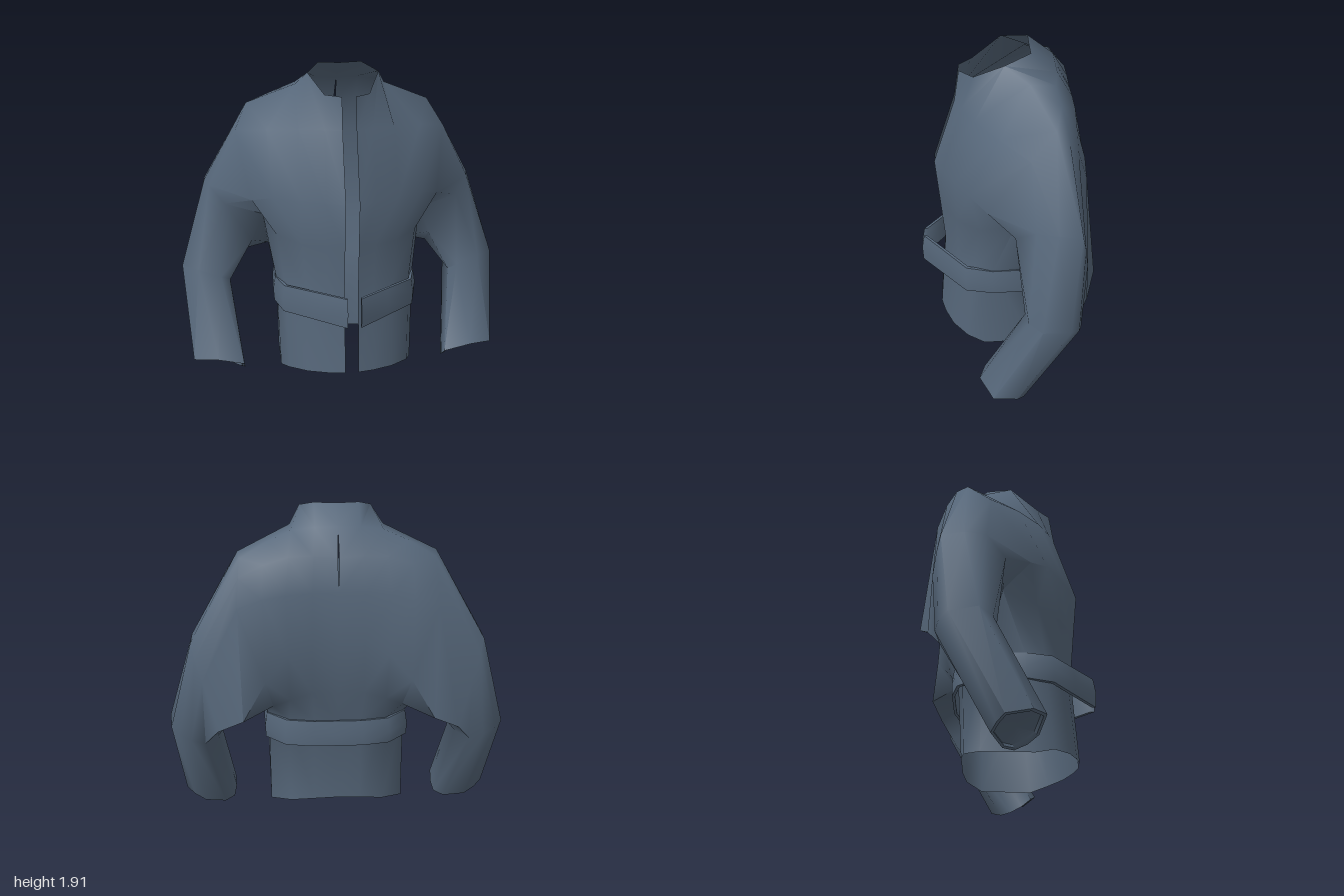
import * as THREE from 'three';

const cloth = new THREE.MeshStandardMaterial({ color: 0x56677a, side: THREE.DoubleSide });
cloth.name = 'slate blue cloth';

// Points shared by neighbouring parts of the left half
const hemSide = [0.41, 0.08, 0.13], waistSide = [0.425, 0.65, 0.08];
const armpitFront = [0.49, 1.02, -0.05], armpitBack = [0.45, 0.75, -0.28];
const neckSide = [0.21, 1.89, 0], shoulder = [0.27, 1.8, -0.14], shoulderTip = [0.565, 1.67, -0.26];

// Rows of [x, y, z] cross-section points, from the hem up
const frontRows = [
  [[0.04, 0.13, 0.4], [0.14, 0.125, 0.375], [0.26, 0.12, 0.325], [0.37, 0.11, 0.235], hemSide],
  [[0.04, 0.65, 0.36], [0.14, 0.65, 0.33], [0.26, 0.65, 0.28], [0.38, 0.65, 0.19], waistSide],
  [[0.04, 0.93, 0.385], [0.14, 0.93, 0.35], [0.28, 0.93, 0.285], [0.42, 0.95, 0.15], armpitFront],
  [[0.04, 1.2, 0.41], [0.15, 1.2, 0.36], [0.29, 1.2, 0.29], [0.44, 1.2, 0.21], [0.56, 1.16, 0.11]],
  [[0.04, 1.6, 0.28], [0.14, 1.6, 0.24], [0.28, 1.59, 0.17], [0.46, 1.57, 0.04], [0.64, 1.53, -0.12]],
  [[0.04, 1.79, 0.25], [0.13, 1.79, 0.17], neckSide, shoulder, shoulderTip],
];

const backRows = [
  [[0, 0.13, -0.28], [0.14, 0.125, -0.28], [0.28, 0.11, -0.26], [0.405, 0.085, -0.17], hemSide],
  [[0, 0.65, -0.31], [0.14, 0.65, -0.31], [0.29, 0.65, -0.28], [0.41, 0.65, -0.16], waistSide],
  [[0, 0.85, -0.38], [0.15, 0.85, -0.38], [0.28, 0.81, -0.38], [0.38, 0.76, -0.34], armpitBack],
  [[0, 1.2, -0.43], [0.15, 1.19, -0.435], [0.29, 1.1, -0.45], [0.42, 0.95, -0.47], [0.55, 0.73, -0.505]],
  [[0, 1.46, -0.42], [0.15, 1.46, -0.425], [0.3, 1.45, -0.43], [0.43, 1.43, -0.435], [0.57, 1.38, -0.43]],
  // the small slit in the centre of the back opens on this row
  [[0.005, 1.65, -0.39], [0.14, 1.66, -0.39], [0.28, 1.655, -0.39], [0.42, 1.61, -0.385], [0.56, 1.54, -0.38]],
  [[0, 1.81, -0.3], [0.13, 1.81, -0.3], [0.26, 1.79, -0.28], [0.4, 1.73, -0.3], [0.555, 1.64, -0.325]],
  [[0, 1.92, -0.15], [0.13, 1.925, -0.15], neckSide, shoulder, shoulderTip],
];

// Triangle under the arm between the waist and the two armpit corners
const gussetRows = [[waistSide, waistSide], [armpitBack, armpitFront]];

// Sleeve rings start at the armhole of both panels: top, down the back, armpit, up the front
const armhole = [shoulderTip, ...[6, 5, 4, 3].map(r => backRows[r][4]),
  armpitBack, armpitFront, frontRows[3][4], frontRows[4][4]];
const upperArm = [[0.84, 1.19, -0.26], [0.84, 1.17, -0.39], [0.82, 1.08, -0.41], [0.78, 0.95, -0.43],
  [0.7, 0.65, -0.45], [0.59, 0.71, -0.3], [0.56, 0.84, -0.08], [0.72, 1.1, -0.035], [0.81, 1.19, -0.14]];
const elbow = [[1, 0.66, -0.17], [0.98, 0.64, -0.33], [0.93, 0.61, -0.38], [0.86, 0.58, -0.4],
  [0.78, 0.55, -0.38], [0.71, 0.56, -0.28], [0.705, 0.57, -0.11], [0.76, 0.6, -0.09], [0.9, 0.65, -0.1]];
const cuff = [[0.95, 0.13, 0.1], [0.94, 0.11, -0.04], [0.89, 0.08, -0.08], [0.82, 0.05, -0.11],
  [0.7, 0.01, -0.05], [0.645, 0.015, 0.01], [0.635, 0.05, 0.08], [0.64, 0.1, 0.14], [0.8, 0.155, 0.175]];

// Rim and recessed lining that close the cuff
const mid = [0, 1, 2].map(k => cuff.reduce((s, p) => s + p[k], 0) / cuff.length);
const inset = (f, dy, dz) => cuff.map(p =>
  [mid[0] + (p[0] - mid[0]) * f, mid[1] + (p[1] - mid[1]) * f + dy, mid[2] + (p[2] - mid[2]) * f + dz]);
const cuffRings = [cuff, inset(0.88, 0, 0), inset(0.86, 0.015, -0.01), inset(0, 0.015, -0.01)];

// Belt: a rounded band swept from the centre back to the loose front end
const beltPath = [[0, -0.34], [0.15, -0.34], [0.31, -0.305], [0.43, -0.17], [0.44, 0.08], [0.395, 0.24], [0.22, 0.37], [0.04, 0.505]];
const last = beltPath.length - 1;
const beltSections = beltPath.map(([x, z], i) => {
  const low = i < 5 ? 0.5 : 0.5 - 0.008 * (i - 4);
  const at = (f, y) => [i === last ? x : x * f, y, z * f];
  return [at(0.95, low), at(1, low), at(1.01, 0.57), at(0.98, 0.655), at(0.94, 0.655)];
});
beltSections.push(beltSections[last].map(() => [0.04, 0.57, 0.49]));

// Skin a grid of points, optionally closed around each row
function skin(rows, mirror, closed, flip) {
  const out = [], n = rows[0].length;
  const put = (...pts) => {
    if (flip !== mirror < 0) pts.reverse();
    for (const p of pts) out.push(p[0] * mirror, p[1], p[2]);
  };
  for (let r = 0; r < rows.length - 1; r++) {
    for (let c = 0; c < (closed ? n : n - 1); c++) {
      const d = (c + 1) % n;
      if (rows[r][c] !== rows[r][d]) put(rows[r][c], rows[r][d], rows[r + 1][d]);
      put(rows[r][c], rows[r + 1][d], rows[r + 1][c]);
    }
  }
  const geo = new THREE.BufferGeometry();
  geo.setAttribute('position', new THREE.Float32BufferAttribute(out, 3));
  geo.computeVertexNormals();
  return geo;
}

// Smooth normals across neighbouring parts, keeping folds sharper than about 65 degrees
function smoothTogether(geos) {
  const faces = new Map(), v = new THREE.Vector3();
  const key = (g, i) => v.fromBufferAttribute(g.attributes.position, i).toArray().map(a => Math.round(a * 1e4)).join();
  for (const g of geos) {
    for (let i = 0; i < g.attributes.position.count; i++) {
      const k = key(g, i);
      if (!faces.has(k)) faces.set(k, []);
      faces.get(k).push(new THREE.Vector3().fromBufferAttribute(g.attributes.normal, i));
    }
  }
  for (const g of geos) {
    const normals = [], own = new THREE.Vector3();
    for (let i = 0; i < g.attributes.position.count; i++) {
      own.fromBufferAttribute(g.attributes.normal, i);
      const sum = new THREE.Vector3();
      for (const f of faces.get(key(g, i))) if (f.dot(own) > 0.42) sum.add(f);
      normals.push(...sum.normalize().toArray());
    }
    g.setAttribute('normal', new THREE.Float32BufferAttribute(normals, 3));
  }
}

export function createModel() {
  const jacket = new THREE.Group();
  jacket.name = 'jacket';
  const geos = [];
  for (const [label, s] of [['left', 1], ['right', -1]]) {
    const half = new THREE.Group();
    half.name = label + 'Half';
    const add = (name, rows, closed, flip) => {
      const geo = skin(rows, s, closed, flip);
      geos.push(geo);
      const mesh = new THREE.Mesh(geo, cloth);
      mesh.name = label + name;
      half.add(mesh);
    };
    add('FrontPanel', frontRows, false, false);
    add('BackPanel', backRows, false, true);
    add('UnderarmGusset', gussetRows, false, true);
    add('Sleeve', [armhole, upperArm, elbow, cuff], true, true);
    add('Cuff', cuffRings, true, true);
    add('Belt', beltSections, true, true);
    jacket.add(half);
  }
  smoothTogether(geos);
  return jacket;
}
